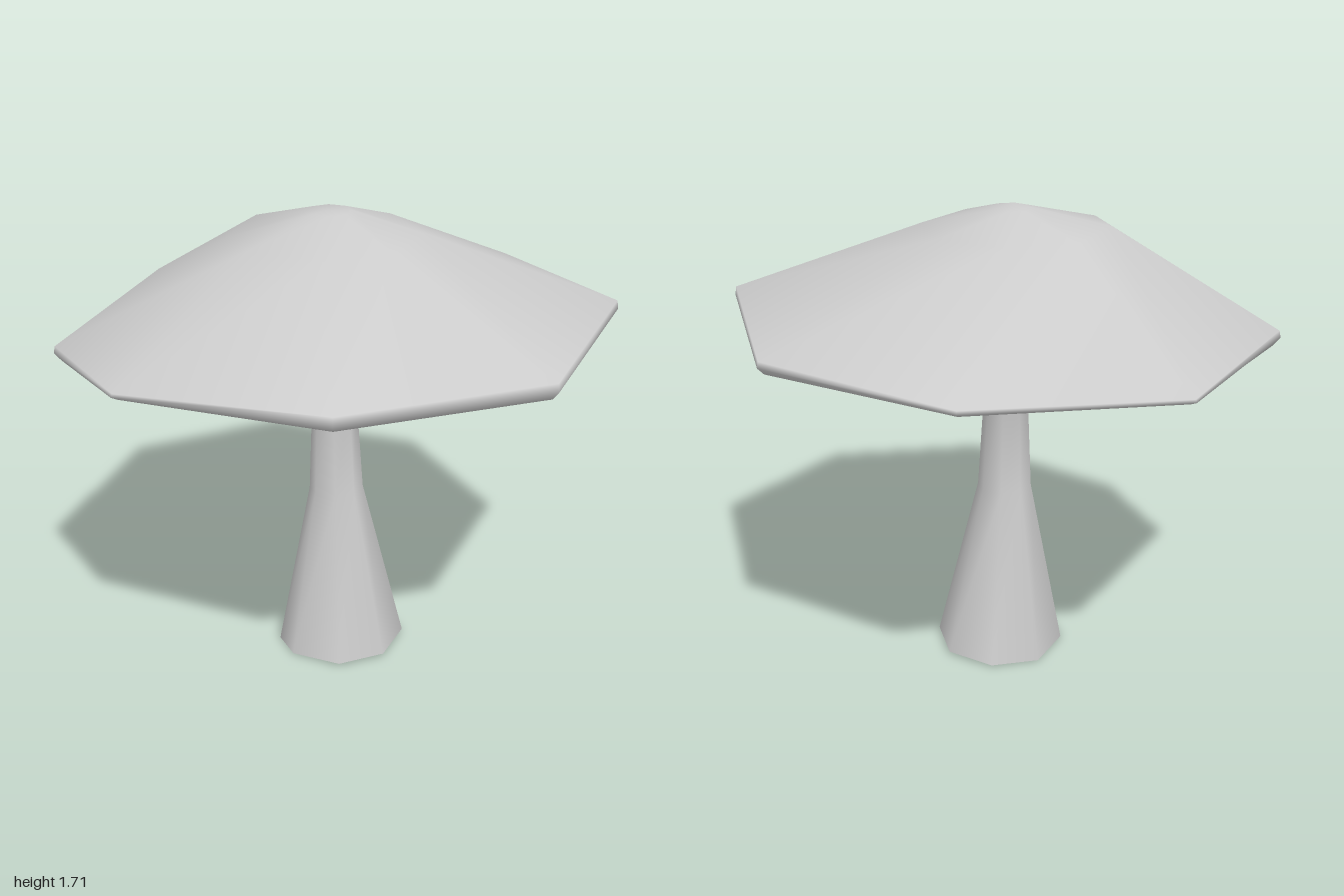
import * as THREE from 'three';

// Eight uneven corners of the cap rim, counted from the back: x, y, z, lip thickness
const corners = [
  [-0.10, 1.275, -1.0, 0.025], [0.63, 1.31, -0.78, 0.03], [0.965, 1.33, -0.09, 0.055],
  [0.73, 1.375, 0.66, 0.075], [0.01, 1.355, 1.0, 0.07], [-0.68, 1.35, 0.72, 0.065],
  [-0.97, 1.275, -0.02, 0.03], [-0.86, 1.26, -0.55, 0.065],
];
const angles = corners.map(([x, , z]) => Math.atan2(z, x));

// Ring around (cx, cz) sharing the rim's corner directions, with optional tilt
const ring = (cx, cz, r, y, tiltX = 0, tiltZ = 0) => angles.map((a) => {
  const x = r * Math.cos(a), z = r * Math.sin(a);
  return new THREE.Vector3(cx + x, y + tiltX * x + tiltZ * z, cz + z);
});

// Copy of the rim, scaled inwards and lowered by a share of the lip thickness
const rimRing = (scale, share) => corners.map(([x, y, z, lip]) =>
  new THREE.Vector3(x * scale, y - lip * share, z * scale));

// Skin a stack of rings up to a closing tip, with smooth normals
function loft(rings, tip) {
  const n = corners.length, points = [...rings.flat(), tip], index = [];
  for (let i = 0; i < rings.length; i++) {
    for (let j = 0; j < n; j++) {
      const k = (j + 1) % n;
      const a = i * n + j, b = i * n + k, c = a + n, d = b + n;
      if (i < rings.length - 1) index.push(a, c, b, b, c, d);
      else index.push(a, points.length - 1, b);
    }
  }
  const geometry = new THREE.BufferGeometry().setFromPoints(points);
  geometry.setIndex(index);
  geometry.computeVertexNormals();
  return geometry;
}

export function createModel() {
  const group = new THREE.Group();
  group.name = 'mushroom';
  const material = new THREE.MeshStandardMaterial({ color: 0xcccccc, side: THREE.DoubleSide });

  // Stem: open at the foot, narrow waist, flaring into the cap
  const stemRings = [
    ring(-0.015, 0.01, 0.24, 0.009, 0.02, 0.03),
    ring(-0.03, 0, 0.1, 0.65),
    ring(-0.03, -0.01, 0.08, 1.03),
    ring(-0.02, -0.03, 0.13, 1.27),
    ring(-0.03, -0.02, 0.3, 1.43),
  ];
  // Cap: hollow underside, thin lip, domed top
  const capRings = [
    ring(-0.03, 0, 0.46, 1.495),
    rimRing(0.92, 1),
    rimRing(0.975, 0.85),
    rimRing(1, 0.4),
    rimRing(0.995, 0),
    ring(-0.07, -0.01, 0.34, 1.633),
    ring(-0.04, -0.02, 0.08, 1.705),
  ];
  const skin = loft([...stemRings, ...capRings], new THREE.Vector3(-0.07, 1.715, 0));

  // Split the skin into its two parts, keeping the shading continuous across the join
  const indices = Array.from(skin.index.array);
  const split = (stemRings.length - 1) * corners.length * 6;
  const parts = { stem: indices.slice(0, split), cap: indices.slice(split) };
  for (const [name, part] of Object.entries(parts)) {
    const mesh = new THREE.Mesh(skin.clone().setIndex(part), material);
    mesh.name = name;
    group.add(mesh);
  }
  return group;
}
